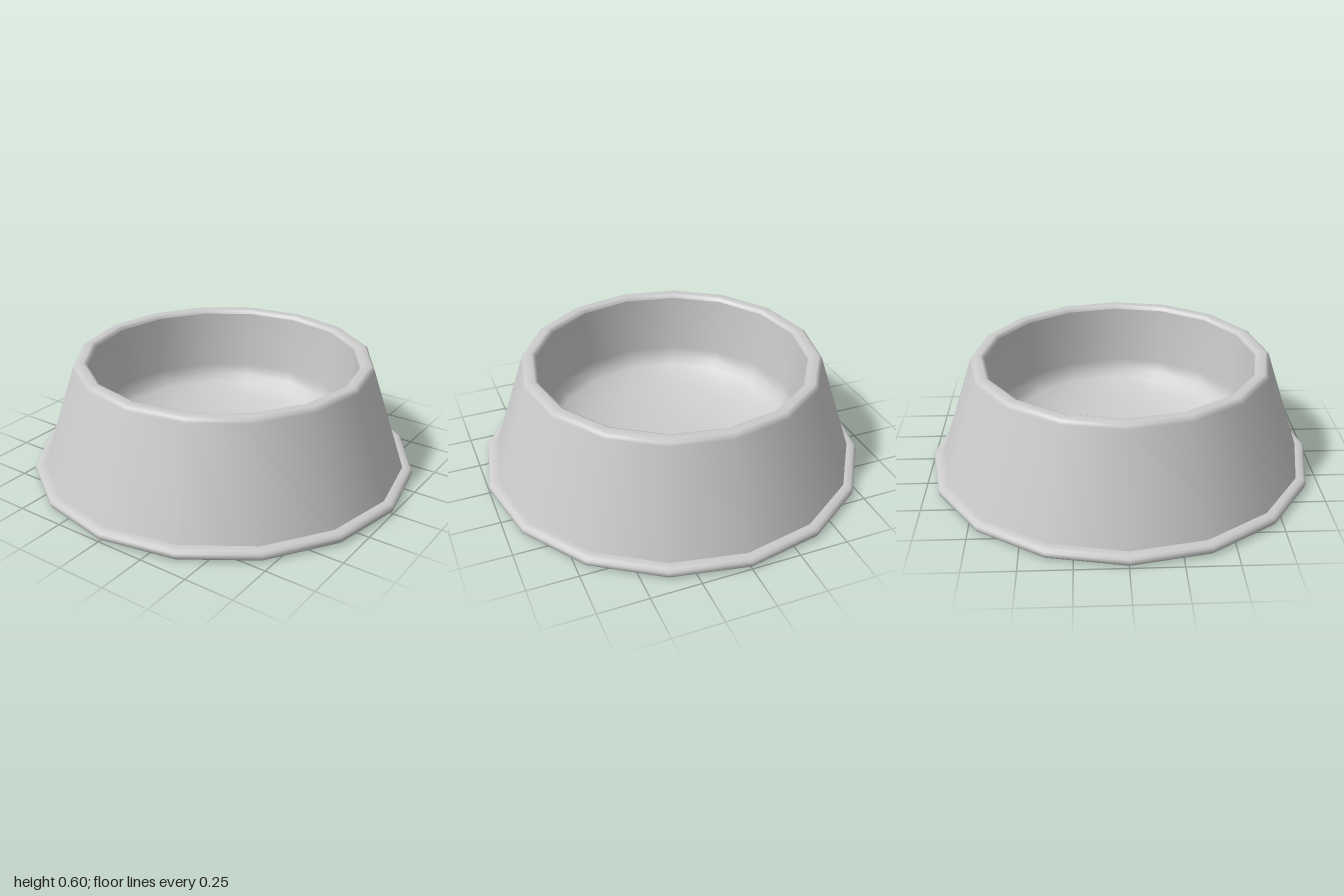
import * as THREE from 'three';

const SIDES = 16;

export function createModel() {
  const group = new THREE.Group();
  group.name = 'bowl';
  const material = new THREE.MeshStandardMaterial({ color: 0xcccccc, side: THREE.DoubleSide });

  // Revolve a profile of [radius, height] points into a named part
  const addLathe = (name, profile) => {
    const points = profile.map(([r, y]) => new THREE.Vector2(r, y));
    const mesh = new THREE.Mesh(new THREE.LatheGeometry(points, SIDES), material);
    mesh.name = name;
    group.add(mesh);
  };

  // Rounded foot ring, open in the middle
  addLathe('footRing', [
    [0.948, 0.05], [0.945, 0.015], [0.952, 0.003], [0.965, 0], [0.985, 0.003], [0.997, 0.013],
    [1, 0.027], [0.997, 0.04], [0.985, 0.05], [0.965, 0.054], [0.948, 0.054],
  ]);

  // Sloping outer wall running over the rounded rim
  addLathe('outerWallAndRim', [
    [0.948, 0.05], [0.77, 0.575], [0.764, 0.59], [0.75, 0.6],
    [0.715, 0.6], [0.702, 0.594], [0.695, 0.58],
  ]);

  // Inner dish: steep side curving into a hollowed floor
  addLathe('innerDish', [
    [0.695, 0.58], [0.672, 0.27], [0.655, 0.212], [0.62, 0.18],
    [0.55, 0.139], [0.45, 0.1], [0.3, 0.068], [0.15, 0.054], [0, 0.05],
  ]);

  return group;
}
